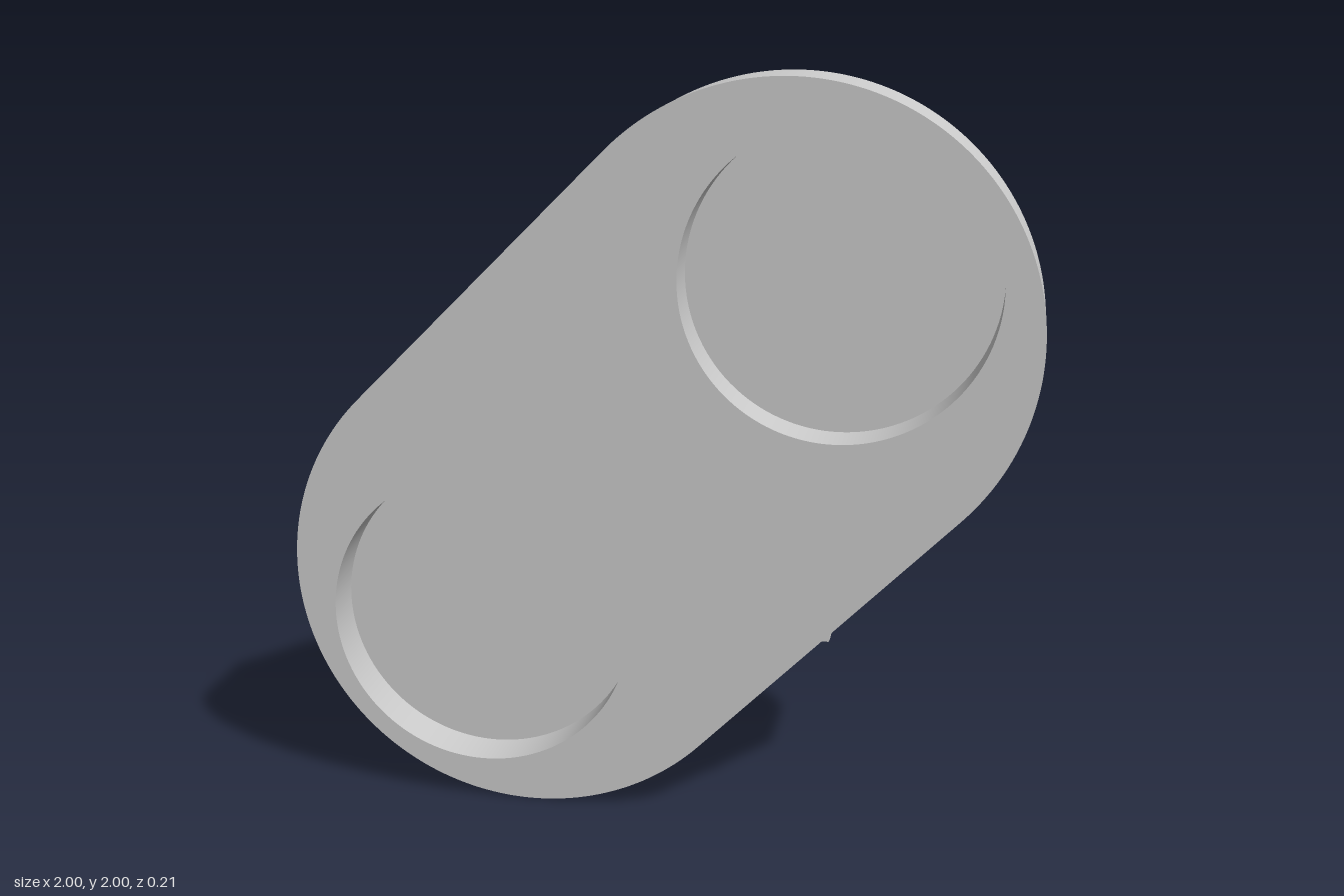
import * as THREE from 'three';
import { toCreasedNormals } from 'three/addons/utils/BufferGeometryUtils.js';

const HALF = 0.105;        // half the plate thickness
const FLOOR = -0.025;      // z of the pocket floors
const R = 0.66;            // radius of the rounded ends
const C = 0.34;            // offset of the end centres along x and y
const POCKET_R = 0.415;
const POCKETS = [[0.478, 1.48], [-0.48, 0.524]];

// Slanted capsule outline with a small nub on its lower right edge
function outline() {
  const s = new THREE.Shape();
  const q = Math.PI / 4;
  s.absarc(C, 1 + C, R, -q, 3 * q, false);
  s.absarc(-C, 1 - C, R, 3 * q, 7 * q, false);
  s.lineTo(0.457, 0.523);
  s.lineTo(0.475, 0.523);
  s.lineTo(0.478, 0.528);
  s.lineTo(0.478, 0.544);
  return s;
}

// Back face and rim: an extrusion without its front cap
function shellGeometry() {
  const solid = new THREE.ExtrudeGeometry(outline(), {
    depth: 2 * HALF, bevelEnabled: false, curveSegments: 64,
  });
  const p = solid.attributes.position.array;
  const caps = solid.groups[0].count * 3;
  const kept = new Float32Array([...p.slice(0, caps / 2), ...p.slice(caps)]);
  const g = new THREE.BufferGeometry();
  g.setAttribute('position', new THREE.BufferAttribute(kept, 3));
  g.translate(0, 0, -HALF);
  return toCreasedNormals(g, 0.4);
}

export function createModel() {
  const group = new THREE.Group();
  const grey = new THREE.MeshStandardMaterial({ color: 0xcccccc });
  const openGrey = new THREE.MeshStandardMaterial({ color: 0xcccccc, side: THREE.DoubleSide });

  const add = (name, geometry, material, x = 0, y = 0, z = 0) => {
    const mesh = new THREE.Mesh(geometry, material);
    mesh.name = name;
    mesh.position.set(x, y, z);
    group.add(mesh);
  };

  add('plateBackAndRim', shellGeometry(), grey);

  // Front face with the two round openings
  const face = outline();
  for (const [x, y] of POCKETS) {
    face.holes.push(new THREE.Path().absarc(x, y, POCKET_R, 0, Math.PI * 2, true));
  }
  add('plateFront', new THREE.ShapeGeometry(face, 64), grey, 0, 0, HALF);

  // Blind round pockets
  const depth = HALF - FLOOR;
  POCKETS.forEach(([x, y], i) => {
    const side = i === 0 ? 'upper' : 'lower';
    const wall = new THREE.CylinderGeometry(POCKET_R, POCKET_R, depth, 128, 1, true);
    wall.rotateX(Math.PI / 2);
    add(side + 'PocketWall', wall, openGrey, x, y, FLOOR + depth / 2);
    add(side + 'PocketFloor', new THREE.CircleGeometry(POCKET_R, 128), grey, x, y, FLOOR);
  });

  return group;
}
